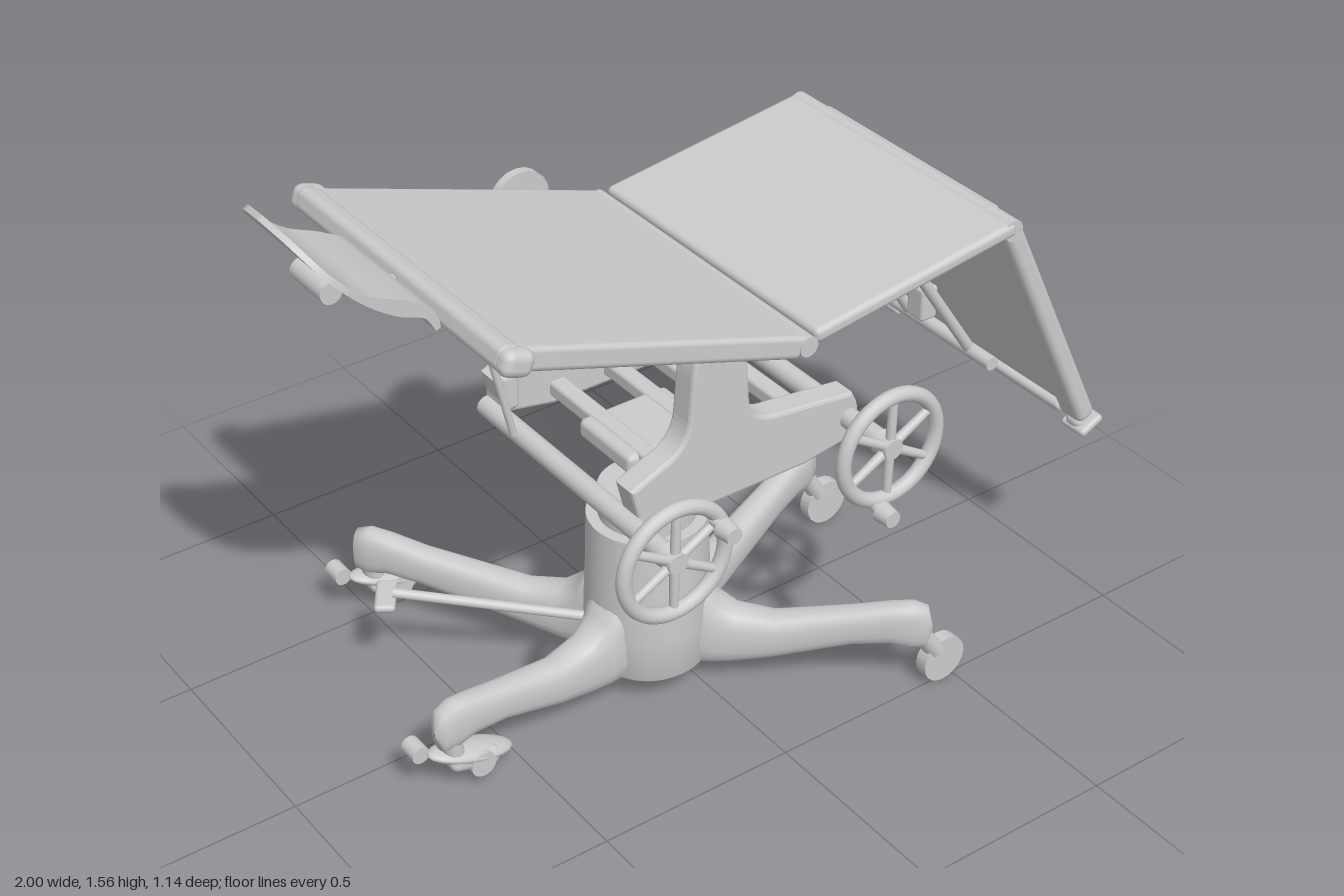
import * as THREE from 'three';
import { RoundedBoxGeometry } from 'three/addons/geometries/RoundedBoxGeometry.js';

const ZC = 0.07; // middle plane of the table
const V = (x, y, z) => new THREE.Vector3(x, y, z);

export function createModel() {
  const root = new THREE.Group();
  const mat = new THREE.MeshStandardMaterial({ color: 0xcccccc });
  const add = (name, geo, x = 0, y = 0, z = 0, parent = root) => {
    const m = new THREE.Mesh(geo, mat);
    m.name = name;
    m.position.set(x, y, z);
    parent.add(m);
    return m;
  };
  const box = (name, w, h, d, x, y, z, r = 0.01, parent = root) =>
    add(name, new RoundedBoxGeometry(w, h, d, 2, Math.min(r, w / 2.1, h / 2.1, d / 2.1)), x, y, z, parent);
  // Straight round bar between two points
  const rod = (name, a, b, r, r2 = r, parent = root) => {
    const d = b.clone().sub(a);
    const m = add(name, new THREE.CylinderGeometry(r2, r, d.length(), 20), 0, 0, 0, parent);
    m.position.copy(a).add(b).multiplyScalar(0.5);
    m.quaternion.setFromUnitVectors(V(0, 1, 0), d.normalize());
    return m;
  };
  const ball = (name, r, x, y, z) => add(name, new THREE.SphereGeometry(r, 20, 14), x, y, z);
  const bend = (name, pts, r) => add(name, new THREE.TubeGeometry(new THREE.CatmullRomCurve3(pts), 32, r, 10));

  // Group whose local x runs along a panel from a to b (side view)
  const panelGroup = (name, ax, ay, bx, by, z) => {
    const g = new THREE.Group();
    g.name = name;
    g.position.set((ax + bx) / 2, (ay + by) / 2, z);
    g.rotation.z = Math.atan2(by - ay, bx - ax);
    root.add(g);
    return [g, Math.hypot(bx - ax, by - ay)];
  };

  // Back section with end rail and corner horns
  const [back, bl] = panelGroup('backSection', -0.7, 1.31, 0.06, 1.055, 0.065);
  box('backCushion', bl, 0.034, 0.785, 0, 0.01, 0, 0.012, back);
  for (const s of [-1, 1]) box('backSideRail', bl - 0.02, 0.05, 0.045, 0, -0.004, s * 0.37, 0.015, back);
  box('backEndRail', 0.055, 0.058, 0.8, -bl / 2 + 0.02, 0.002, 0, 0.02, back);
  for (const s of [-1, 1]) box('backCorner', 0.075, 0.06, 0.05, -bl / 2 + 0.03, 0, s * 0.395, 0.022, back);
  rod('backHinge', V(0.06, 1.06, -0.32), V(0.06, 1.06, 0.46), 0.024);

  // Seat section
  const [seat, sl] = panelGroup('seatSection', 0.085, 1.068, 0.645, 1.145, 0.067);
  box('seatCushion', sl, 0.036, 0.775, 0, 0, 0, 0.014, seat);
  rod('kneeHinge', V(0.638, 1.14, -0.31), V(0.638, 1.14, 0.45), 0.026);

  // Leg section with side rails and rounded feet
  const [leg, ll] = panelGroup('legSection', 0.645, 1.145, 0.955, 0.5, 0.065);
  box('legCushion', ll + 0.02, 0.028, 0.6, 0.01, 0.012, 0, 0.008, leg);
  for (const s of [-1, 1]) {
    box('legSideRail', ll - 0.02, 0.052, 0.078, 0, 0.002, s * 0.332, 0.018, leg);
    box('legCorner', 0.05, 0.06, 0.05, ll / 2 + 0.008, 0, s * 0.335, 0.018, leg);
    box('legCornerPad', 0.022, 0.072, 0.078, ll / 2 + 0.012, 0, s * 0.34, 0.01, leg);
  }
  box('legEndRail', 0.03, 0.045, 0.58, ll / 2 - 0.008, 0, 0, 0.012, leg);

  // Curved head rest with a rounded tip, thickest near the neck
  const headCurve = new THREE.CatmullRomCurve3([V(-0.712, 1.285, 0), V(-0.735, 1.328, 0), V(-0.79, 1.358, 0),
    V(-0.87, 1.405, 0), V(-0.94, 1.473, 0), V(-0.997, 1.555, 0)]);
  const head = new THREE.BoxGeometry(1, 1, 1, 40, 1, 10);
  const hp = head.attributes.position;
  for (let i = 0; i < hp.count; i++) {
    const u = hp.getX(i) + 0.5;
    const c = headCurve.getPointAt(u), t = headCurve.getTangentAt(u);
    const k = Math.max(0, (u - 0.6) / 0.4);
    const hw = 0.163 * Math.sqrt(Math.max(0.0004, 1 - k * k));
    const o = hp.getY(i) * (0.013 + 0.022 * Math.exp(-(((u - 0.28) / 0.2) ** 2)));
    hp.setXYZ(i, c.x + t.y * o, c.y - t.x * o, 0.088 - hp.getZ(i) * 2 * hw);
  }
  head.computeVertexNormals();
  add('headRest', head);
  rod('headRestBar', V(-0.68, 1.29, ZC), V(-0.85, 1.36, ZC), 0.016);
  box('headRestClamp', 0.1, 0.035, 0.09, -0.79, 1.325, ZC).rotation.z = -0.5;
  rod('headRestKnob', V(-0.885, 1.372, 0.02), V(-0.885, 1.372, 0.14), 0.025);
  rod('headRestLink', V(-0.885, 1.372, ZC), V(-0.81, 1.34, ZC), 0.014);

  // Two upright yokes carrying the top
  const y = new THREE.Shape();
  y.moveTo(-0.29, 0.69);
  y.lineTo(-0.16, 0.665);
  y.lineTo(0.15, 0.665);
  y.lineTo(0.28, 0.685);
  y.quadraticCurveTo(0.31, 0.74, 0.28, 0.79);
  y.lineTo(0.08, 0.815);
  y.quadraticCurveTo(-0.01, 0.82, -0.015, 0.9);
  y.lineTo(-0.022, 1.0);
  y.quadraticCurveTo(-0.04, 1.09, -0.09, 1.09);
  y.quadraticCurveTo(-0.15, 1.07, -0.153, 0.98);
  y.lineTo(-0.16, 0.89);
  y.quadraticCurveTo(-0.17, 0.82, -0.24, 0.8);
  y.lineTo(-0.31, 0.77);
  y.closePath();
  const yokeGeo = new THREE.ExtrudeGeometry(y, { depth: 0.05, bevelEnabled: true, bevelSize: 0.008, bevelThickness: 0.008, bevelSegments: 2, curveSegments: 10 });
  for (const z of [-0.24, 0.29]) add('yoke', yokeGeo, 0, 0, z);
  for (const x of [-0.28, 0.31]) box('yokeEndPad', 0.05, 0.1, 0.08, x, 0.735, -0.215, 0.015);
  // Cross shafts and bars between the yokes
  for (const [x, yy] of [[-0.31, 0.68], [0.275, 0.735]]) rod('crossShaft', V(x, yy, -0.24), V(x, yy, 0.48), 0.025);
  rod('pivotShaft', V(-0.09, 1.04, -0.25), V(-0.09, 1.04, 0.35), 0.028);
  for (const [x, yy] of [[-0.15, 0.7], [0, 0.7], [0.05, 0.77], [0.16, 0.77]]) box('crossBar', 0.045, 0.04, 0.56, x, yy, 0.05);
  box('postHead', 0.24, 0.05, 0.2, -0.08, 0.69, ZC, 0.015);
  rod('tiltKnobStem', V(-0.12, 1.09, -0.24), V(-0.12, 1.09, -0.37), 0.022);
  rod('tiltKnob', V(-0.12, 1.095, -0.36), V(-0.12, 1.095, -0.382), 0.075);

  // Spoked hand wheels with crank knobs
  const wheel = (x, yy, kx, ky) => {
    const g = new THREE.Group();
    g.name = 'handWheel';
    g.position.set(x, yy, 0.49);
    root.add(g);
    add('wheelRim', new THREE.TorusGeometry(0.132, 0.018, 12, 48), 0, 0, 0, g);
    rod('wheelHub', V(0, 0, -0.03), V(0, 0, 0.015), 0.03, 0.025, g);
    for (let i = 0; i < 6; i++) {
      const a = (i * Math.PI) / 3 + 0.5;
      rod('wheelSpoke', V(0, 0, 0), V(Math.cos(a) * 0.13, Math.sin(a) * 0.13, 0), 0.012, 0.01, g);
    }
    rod('knobStem', V(kx - x, ky - yy, 0), V(kx - x, ky - yy, 0.045), 0.012, 0.012, g);
    rod('crankKnob', V(kx - x, ky - yy, 0.035), V(kx - x, ky - yy, 0.075), 0.025, 0.02, g);
  };
  wheel(-0.31, 0.68, -0.21, 0.745);
  wheel(0.275, 0.735, 0.23, 0.6);

  // Slim control rods
  rod('backStrut', V(-0.46, 1.21, -0.08), V(-0.34, 0.7, -0.08), 0.009);
  rod('pumpLever', V(0.385, 1.01, -0.28), V(0.235, 0.6, -0.14), 0.01);
  rod('pumpRod', V(0.235, 0.6, -0.14), V(0.18, 0.2, -0.09), 0.008);
  ball('pumpLeverTip', 0.016, 0.385, 1.01, -0.28);
  ball('pumpJoint', 0.018, 0.235, 0.6, -0.14);

  // Clamp, strut and levers under the leg section
  rod('kneeClampBar', V(0.56, 1.0, -0.4), V(0.56, 1.0, 0.25), 0.018);
  rod('kneeClampLever', V(0.585, 0.885, -0.405), V(0.54, 1.03, -0.42), 0.014, 0.028);
  for (const z of [-0.18, 0.2]) box('kneeBracket', 0.05, 0.19, 0.04, 0.59, 1.02, z).rotation.z = 0.15;
  for (const z of [-0.08, 0.14]) rod('legStrut', V(0.57, 0.99, z), V(0.83, 0.6, z), 0.014);
  rod('strutCrossBar', V(0.83, 0.6, -0.22), V(0.83, 0.6, 0.22), 0.018);
  box('strutCatch', 0.05, 0.09, 0.06, 0.765, 0.71, 0.03);
  bend('releaseLever', [V(0.83, 0.72, -0.27), V(0.75, 0.715, -0.32), V(0.745, 0.68, -0.335), V(0.765, 0.58, -0.34),
    V(0.778, 0.5, -0.345), V(0.78, 0.487, -0.375)], 0.012);

  // Column and lifting post
  const profile = [[0.001, 0.055], [0.115, 0.055], [0.142, 0.08], [0.152, 0.2], [0.145, 0.33], [0.142, 0.47]];
  add('column', new THREE.LatheGeometry(profile.map(([r, h]) => new THREE.Vector2(r, h)), 48), -0.08, 0, ZC);
  add('columnTop', new THREE.CylinderGeometry(0.142, 0.142, 0.01, 48), -0.08, 0.466, ZC);
  add('columnCollar', new THREE.CylinderGeometry(0.115, 0.115, 0.08, 48), -0.08, 0.5, ZC);
  add('post', new THREE.CylinderGeometry(0.045, 0.052, 0.14, 32), -0.08, 0.6, ZC);

  // Floor legs lofted from rounded sections: distance, half width, bottom, top
  const floorLeg = (tx, tz) => {
    const L = Math.hypot(tx + 0.08, tz - ZC), dx = (tx + 0.08) / L, dz = (tz - ZC) / L, N = 20;
    const rings = [[0.02, 0.08, 0.055, 0.38], [0.11, 0.075, 0.055, 0.34], [0.16, 0.06, 0.055, 0.245], [0.21, 0.05, 0.06, 0.21],
      [0.3, 0.044, 0.08, 0.195], [L - 0.15, 0.035, 0.13, 0.228], [L - 0.06, 0.034, 0.14, 0.248],
      [L - 0.01, 0.033, 0.13, 0.256], [L + 0.025, 0.027, 0.135, 0.245], [L + 0.038, 0.002, 0.18, 0.19]];
    const pos = [], idx = [];
    rings.forEach(([d, w, y0, y1], i) => {
      for (let j = 0; j < N; j++) {
        const a = (j / N) * Math.PI * 2, c = Math.cos(a), s = Math.sin(a);
        const p = Math.sign(c) * Math.abs(c) ** 0.75 * w, q = Math.sign(s) * Math.abs(s) ** 0.75 * (y1 - y0) / 2;
        pos.push(-0.08 + dx * d + dz * p, (y0 + y1) / 2 + q, ZC + dz * d - dx * p);
        if (i) {
          const k = (j + 1) % N, A = (i - 1) * N + j, B = (i - 1) * N + k;
          idx.push(A, B, i * N + j, B, i * N + k, i * N + j);
        }
      }
    });
    const g = new THREE.BufferGeometry();
    g.setAttribute('position', new THREE.Float32BufferAttribute(pos, 3));
    g.setIndex(idx);
    g.computeVertexNormals();
    add('floorLeg', g);
  };
  // Legs on the foot side roll on disc casters
  for (const [x, z, cx] of [[0.385, 0.495, 0.467], [0.565, -0.16, 0.638]]) {
    floorLeg(x, z);
    rod('casterStem', V(x + 0.005, 0.17, z), V(cx - 0.02, 0.09, z), 0.023);
    rod('casterWheel', V(cx, 0.06, z - 0.016), V(cx, 0.06, z + 0.016), 0.06);
  }
  // Legs on the head side stand on brake casters with a foot pedal
  for (const [x, z] of [[-0.69, 0.16], [-0.5, -0.505]]) {
    floorLeg(x, z);
    rod('brakeStem', V(x, 0.16, z), V(x + 0.02, 0.08, z), 0.024);
    const pad = ball('brakePedal', 0.115, x + 0.06, 0.085, z - 0.01);
    pad.scale.set(1, 0.18, 0.4);
    pad.rotation.z = -0.3;
    box('brakeHousing', 0.13, 0.05, 0.06, x + 0.06, 0.075, z, 0.02).rotation.z = -0.25;
    for (const s of [-1, 1]) rod('brakeWheel', V(x + 0.07, 0.065, z + s * 0.02), V(x + 0.07, 0.065, z + s * 0.034), 0.032);
    rod('brakeTab', V(x - 0.06, 0.12, z - 0.07), V(x - 0.06, 0.12, z - 0.02), 0.022);
  }
  // Foot pedal of the lift, between the head side legs
  rod('liftPedalArm', V(-0.18, 0.18, 0.04), V(-0.58, 0.255, -0.25), 0.012);
  box('liftPedal', 0.05, 0.02, 0.11, -0.59, 0.24, -0.265).rotation.y = -0.6;

  return root;
}
